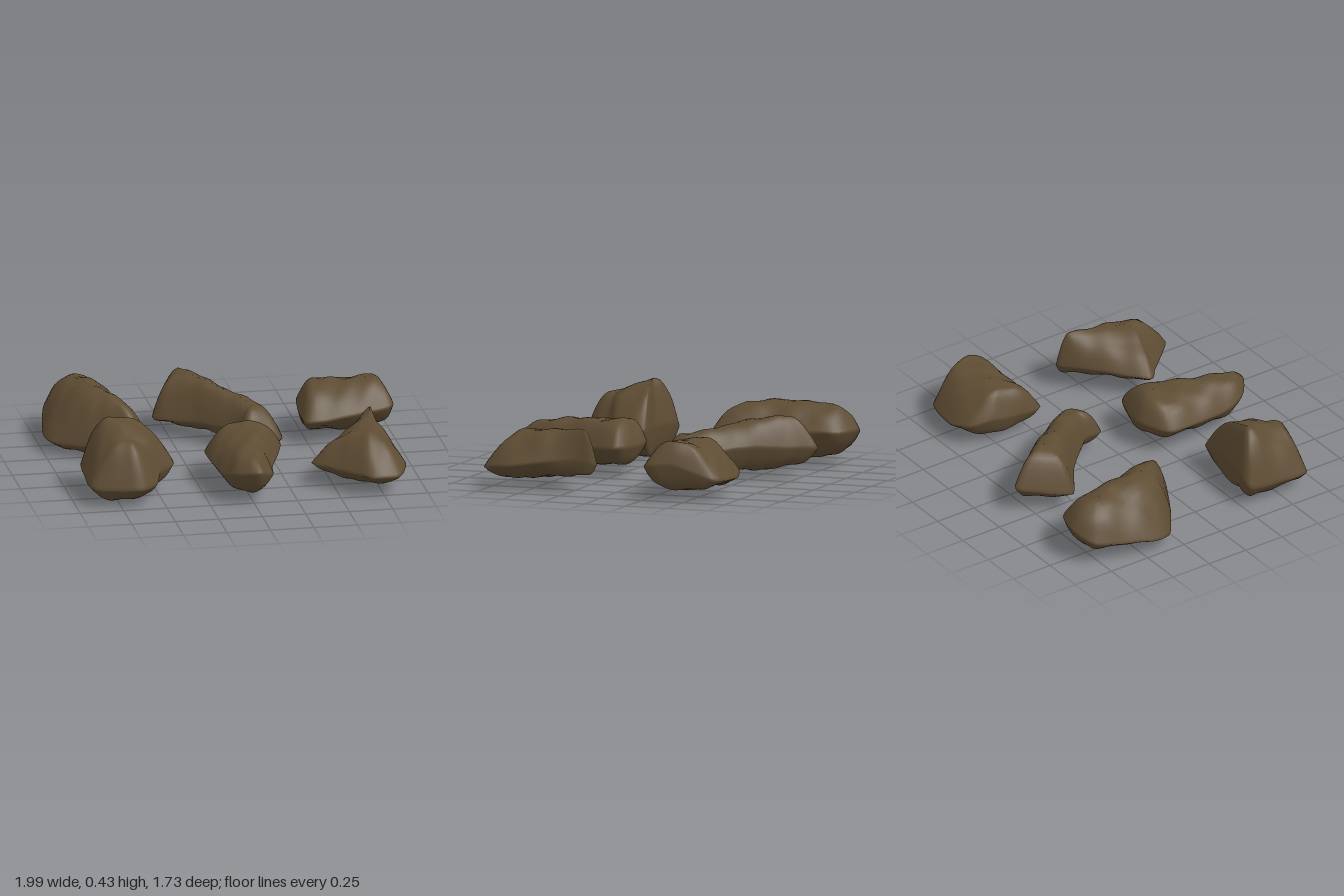
import * as THREE from 'three';

const SEGMENTS = 64;
const STEPS = 10;
const UNDER_ROUND = 3.2;

// Weathered unevenness
function bumps(x, y, z) {
  return 0.5 * Math.sin(19 * x + 11 * z + 5 * y) + 0.4 * Math.sin(31 * z - 17 * x + 1.3)
    + 0.3 * Math.sin(43 * x + 29 * z + 9 * y + 2.1);
}

// A rock rises from its rim to a crest line and closes below to an underside.
// rimPoints: corners [x, y, z] of the widest line; each crest end: x, z, top and base levels;
// round: how quickly the upper sides rise from the rim.
function rockGeometry(rimPoints, start, end, round) {
  const corners = rimPoints.map((corner) => new THREE.Vector3(...corner));
  const rim = new THREE.CatmullRomCurve3(corners, true, 'catmullrom', 0.3)
    .getSpacedPoints(SEGMENTS).slice(0, SEGMENTS);
  const crest = new THREE.Line3(
    new THREE.Vector3(start.x, 0, start.z), new THREE.Vector3(end.x, 0, end.z));

  // Rings run from the underside out to the rim and up to the crest
  const position = [];
  const index = [];
  const p = new THREE.Vector3();
  const core = new THREE.Vector3();
  for (let j = -STEPS; j <= STEPS; j++) {
    const t = (Math.abs(j) / STEPS) ** 1.5;
    const rise = 1 - (1 - t) ** (j < 0 ? UNDER_ROUND : round);
    const level = j < 0 ? 'base' : 'top';
    for (const edge of rim) {
      const along = crest.closestPointToPointParameter(edge.clone().setY(0), true);
      crest.at(along, core);
      p.lerpVectors(edge, core, t);
      const goal = THREE.MathUtils.lerp(start[level], end[level], along);
      const y = edge.y + (goal - edge.y) * rise;
      const rough = 0.012 * bumps(p.x, y, p.z) * Math.min(1, 0.3 + 3 * t);
      position.push(p.x, Math.max(0, y + rough), p.z);
    }
  }
  for (let j = 0; j < 2 * STEPS; j++) {
    for (let i = 0; i < SEGMENTS; i++) {
      const a = j * SEGMENTS + i;
      const b = j * SEGMENTS + (i + 1) % SEGMENTS;
      index.push(b, a, a + SEGMENTS, b, a + SEGMENTS, b + SEGMENTS);
    }
  }
  const geometry = new THREE.BufferGeometry();
  geometry.setAttribute('position', new THREE.Float32BufferAttribute(position, 3));
  geometry.setIndex(index);
  geometry.computeVertexNormals();
  return geometry;
}

export function createModel() {
  const group = new THREE.Group();
  group.name = 'rocks';
  const stone = new THREE.MeshStandardMaterial({ color: 0x5e4c33 });
  stone.name = 'brown stone';

  function addRock(name, rimPoints, start, end, round) {
    const mesh = new THREE.Mesh(rockGeometry(rimPoints, start, end, round), stone);
    mesh.name = name;
    group.add(mesh);
  }

  // Back row
  addRock('backRightLongRock',
    [[-0.92, 0.15, -0.79], [-0.78, 0.2, -0.87], [-0.6, 0.2, -0.8], [-0.53, 0.2, -0.5],
      [-0.45, 0.16, -0.18], [-0.46, 0.11, -0.04], [-0.55, 0.1, -0.06], [-0.77, 0.08, -0.18],
      [-0.96, 0.07, -0.32], [-0.99, 0.09, -0.46]],
    { x: -0.76, z: -0.7, top: 0.35, base: 0.06 },
    { x: -0.67, z: -0.28, top: 0.36, base: 0.01 }, 2.1);
  addRock('backMiddleSlantedRock',
    [[-0.2, 0.17, -0.85], [-0.12, 0.18, -0.77], [0.14, 0.19, -0.45], [0.32, 0.1, -0.2],
      [0.31, 0.09, -0.09], [0.1, 0.12, -0.05], [0.07, 0.13, -0.18], [-0.13, 0.12, -0.4],
      [-0.33, 0.1, -0.54], [-0.32, 0.12, -0.63]],
    { x: -0.14, z: -0.62, top: 0.36, base: 0.06 },
    { x: 0.17, z: -0.21, top: 0.27, base: 0.04 }, 2.6);
  addRock('backLeftBoxyRock',
    [[0.49, 0.14, -0.2], [0.48, 0.17, -0.53], [0.54, 0.14, -0.66], [0.67, 0.11, -0.7],
      [0.89, 0.12, -0.66], [0.98, 0.21, -0.4], [0.97, 0.19, -0.25]],
    { x: 0.56, z: -0.43, top: 0.31, base: 0.05 },
    { x: 0.9, z: -0.42, top: 0.33, base: 0.06 }, 2.3);

  // Front row
  addRock('frontRightPeakedRock',
    [[-0.91, 0.14, 0.28], [-0.83, 0.18, 0.26], [-0.64, 0.18, 0.31], [-0.42, 0.17, 0.3],
      [-0.41, 0.17, 0.47], [-0.5, 0.15, 0.55], [-0.54, 0.12, 0.66], [-0.65, 0.11, 0.74],
      [-0.91, 0.11, 0.66], [-0.92, 0.12, 0.45]],
    { x: -0.74, z: 0.37, top: 0.44, base: 0.01 },
    { x: -0.7, z: 0.57, top: 0.36, base: 0.02 }, 2.2);
  addRock('frontMiddleBlockRock',
    [[-0.01, 0.18, 0.12], [0.25, 0.17, 0.2], [0.14, 0.15, 0.57], [0.12, 0.15, 0.7],
      [0.02, 0.21, 0.86], [-0.12, 0.18, 0.77], [-0.17, 0.15, 0.6], [-0.19, 0.16, 0.24]],
    { x: 0.04, z: 0.25, top: 0.32, base: 0.06 },
    { x: -0.01, z: 0.7, top: 0.28, base: 0.06 }, 2.8);
  addRock('frontLeftAngularRock',
    [[0.78, 0.16, 0.11], [0.8, 0.18, 0.24], [0.87, 0.16, 0.45], [0.9, 0.14, 0.61],
      [0.84, 0.12, 0.77], [0.67, 0.12, 0.79], [0.46, 0.13, 0.57], [0.38, 0.13, 0.48],
      [0.59, 0.16, 0.27]],
    { x: 0.77, z: 0.19, top: 0.35, base: 0.1 },
    { x: 0.69, z: 0.55, top: 0.32, base: 0.05 }, 2.2);

  return group;
}
